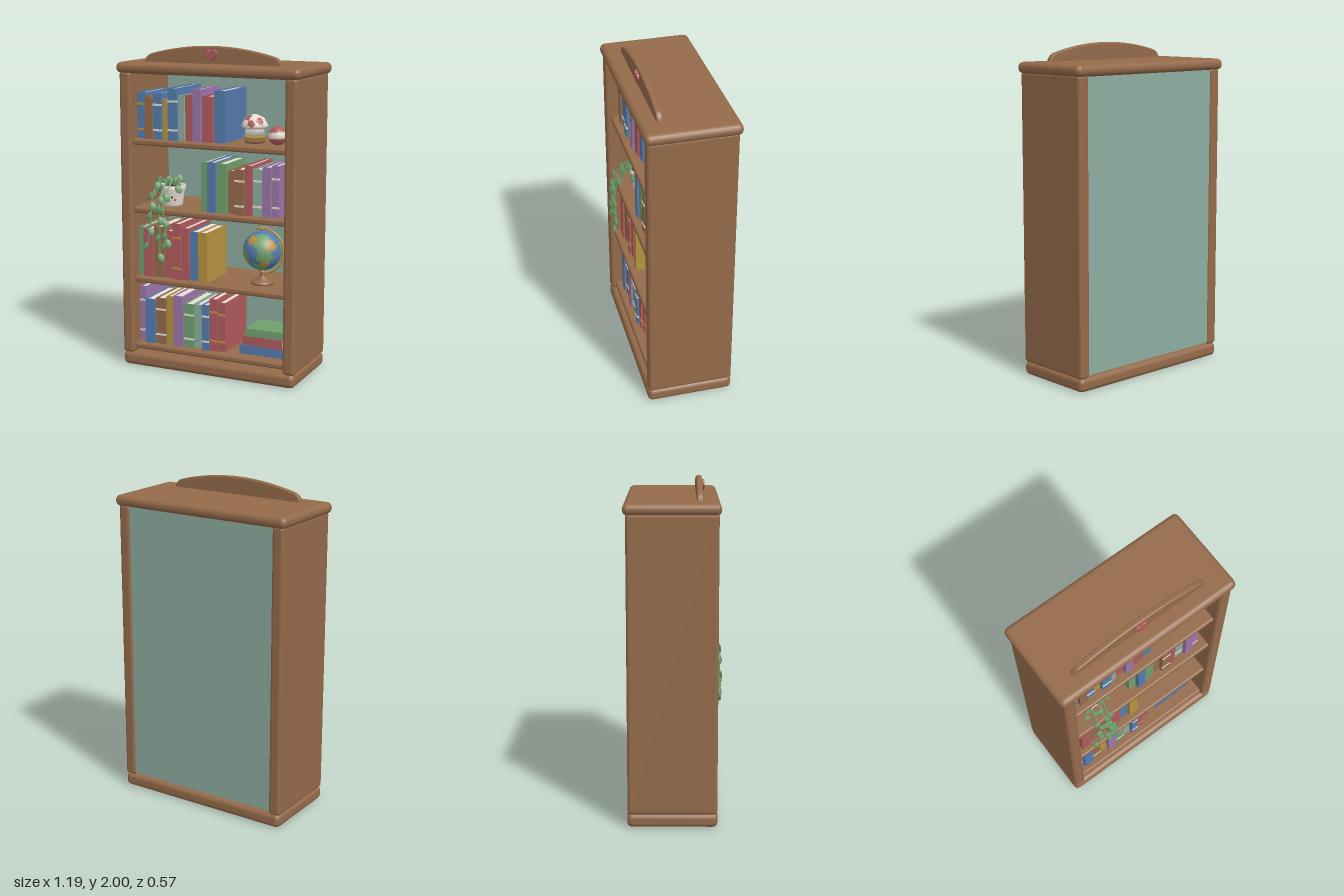
import * as THREE from 'three';
import { RoundedBoxGeometry } from 'three/addons/geometries/RoundedBoxGeometry.js';

const mat = (name, color) => Object.assign(new THREE.MeshStandardMaterial({ color }), { name });
const wood = mat('wood', 0x946a4a);
const sage = mat('sage', 0x8dac9e);
const blue = mat('blue', 0x557cae);
const red = mat('red', 0xb05a5c);
const green = mat('green', 0x6f9f6d);
const purple = mat('purple', 0x9c76ab);
const gold = mat('gold', 0xb8933f);
const cream = mat('cream', 0xe9e0d6);
const dark = mat('dark brown', 0x43302a);

function add(parent, name, geo, material, x = 0, y = 0, z = 0) {
  const m = new THREE.Mesh(geo, material);
  m.name = name;
  m.position.set(x, y, z);
  parent.add(m);
  return m;
}
function group(parent, name, x = 0, y = 0, z = 0) {
  const g = new THREE.Group();
  g.name = name;
  g.position.set(x, y, z);
  parent.add(g);
  return g;
}
const box = (w, h, d) => new THREE.BoxGeometry(w, h, d);
const slab = (w, h, d, r) => new RoundedBoxGeometry(w, h, d, 2, r);
const lathe = (pts, n = 28) => new THREE.LatheGeometry(pts.map(p => new THREE.Vector2(...p)), n);

// Sorts the faces into one group per material, chosen from the face centre
function paint(geo, rule, count) {
  const buckets = Array.from({ length: count }, () => []);
  const p = geo.attributes.position, idx = geo.index.array, v = new THREE.Vector3();
  for (let i = 0; i < idx.length; i += 3) {
    const c = new THREE.Vector3();
    for (let k = 0; k < 3; k++) c.add(v.fromBufferAttribute(p, idx[i + k]));
    buckets[rule(c.divideScalar(3))].push(idx[i], idx[i + 1], idx[i + 2]);
  }
  geo.setIndex(buckets.flat());
  let start = 0;
  buckets.forEach((b, i) => { geo.addGroup(start, b.length, i); start += b.length; });
  return geo;
}
const dir = (x, y, z) => new THREE.Vector3(x, y, z).normalize();

// Book centred on x, standing on y = 0, spine at z = 0 facing the front
function book(parent, w, h, d, cover, band) {
  const b = group(parent, 'book'), t = 0.006;
  for (const s of [-1, 1]) add(b, 'coverBoard', box(t, h, d), cover, s * (w - t) / 2, h / 2, -d / 2);
  add(b, 'spine', box(w - t, h, t), cover, 0, h / 2, -t / 2);
  add(b, 'pages', box(w - 2 * t, h - 0.016, d - 0.014), cream, 0, h / 2, -d / 2 - 0.001);
  if (band) for (const f of [0.2, 0.75])
    add(b, 'spineBand', box(w + 0.001, 0.012, 0.012), band, 0, h * f, -0.003);
  return b;
}

// Row of books: [cover, right edge, top, band]
function bookRow(parent, name, left, base, list) {
  const row = group(parent, name);
  list.forEach(([cover, right, top, band], i) => {
    const b = book(row, right - left - 0.003, top - base, 0.28 + 0.05 * ((i * 7 + 3) % 4) / 3, cover, band);
    b.position.set((left + right) / 2, base, 0.185 + 0.012 * ((i * 5) % 3 - 1));
    left = right;
  });
}

function addCase(g) {
  add(g, 'plinth', slab(1.15, 0.085, 0.53, 0.03), wood, 0, 0.0425, 0);
  add(g, 'topBoard', slab(1.19, 0.068, 0.555, 0.032), wood, 0, 1.862, -0.002);
  for (const s of [-1, 1]) add(g, 'sideBoard', slab(0.075, 1.76, 0.525, 0.02), wood, s * 0.5375, 0.96, 0);
  add(g, 'backPanel', box(1.01, 1.74, 0.016), sage, 0, 0.965, -0.243);
  for (const y of [0.14, 0.57, 1.01, 1.43])
    add(g, 'shelf', slab(1.01, 0.036, 0.47, 0.012), wood, 0, y - 0.018, 0);

  // Arched crest with a heart
  const s = new THREE.Shape();
  s.moveTo(-0.44, 1.885);
  s.quadraticCurveTo(-0.435, 1.925, -0.4, 1.938);
  s.quadraticCurveTo(-0.2, 1.992, 0, 1.992);
  s.quadraticCurveTo(0.2, 1.992, 0.4, 1.938);
  s.quadraticCurveTo(0.435, 1.925, 0.44, 1.885);
  add(g, 'crest', new THREE.ExtrudeGeometry(s, {
    depth: 0.019, bevelThickness: 0.008, bevelSize: 0.008, bevelSegments: 2, curveSegments: 14 }), wood, 0, 0, 0.147);
  const h = new THREE.Shape();
  h.moveTo(0, -0.03);
  h.bezierCurveTo(-0.03, -0.01, -0.045, 0.005, -0.034, 0.022);
  h.bezierCurveTo(-0.024, 0.036, -0.006, 0.03, 0, 0.015);
  h.bezierCurveTo(0.006, 0.03, 0.024, 0.036, 0.034, 0.022);
  h.bezierCurveTo(0.045, 0.005, 0.03, -0.01, 0, -0.03);
  add(g, 'heart', new THREE.ExtrudeGeometry(h, {
    depth: 0.012, bevelThickness: 0.005, bevelSize: 0.004, bevelSegments: 2 }), red, 0, 1.948, 0.172);
}

function addGlobe(g) {
  const globe = group(g, 'globe', 0.283, 0.57, 0.05);
  add(globe, 'stand', lathe([[0, 0], [0.07, 0], [0.07, 0.012], [0.05, 0.024], [0.02, 0.038], [0.014, 0.065],
    [0.022, 0.078], [0, 0.086]]), wood);
  const head = group(globe, 'globeHead', 0, 0.205, 0);
  const land = [[dir(0.1, 0.65, 0.7), 0.88], [dir(0.5, 0, 0.85), 0.9], [dir(-0.6, -0.35, 0.6), 0.9],
    [dir(0.2, -0.7, 0.6), 0.93], [dir(0.8, 0.3, -0.5), 0.86], [dir(-0.5, 0.4, -0.8), 0.85], [dir(-0.2, -0.4, -0.9), 0.92]];
  const desert = [[dir(-0.4, 0.6, 0.7), 0.96], [dir(0.6, 0.55, 0.55), 0.955], [dir(-0.5, -0.6, 0.6), 0.97],
    [dir(0.5, -0.5, 0.7), 0.97], [dir(-0.9, 0.3, 0), 0.94], [dir(0.9, -0.3, -0.3), 0.95]];
  const hit = (list, n) => list.some(([d, c]) => d.dot(n) > c);
  const ball = paint(new THREE.SphereGeometry(0.12, 26, 18),
    c => { c.normalize(); return hit(desert, c) ? 2 : hit(land, c) ? 1 : 0; }, 3);
  add(head, 'globeBall', ball, [blue, green, gold]).rotation.z = -0.2;
  // Meridian arm curves round the right-hand side
  add(head, 'meridianArm', new THREE.TorusGeometry(0.138, 0.007, 8, 32, Math.PI * 1.08), gold).rotation.z = -1.45;
  for (const s of [-1, 1]) add(head, 'axisKnob', new THREE.SphereGeometry(0.013, 10, 8), gold, -s * 0.005, s * 0.134, 0);
}

function addOrnaments(g) {
  // Mushroom jar
  const jar = group(g, 'mushroomJar', 0.228, 1.43, 0.05);
  add(jar, 'jarFoot', lathe([[0, 0], [0.06, 0], [0.062, 0.022], [0, 0.022]]), wood);
  add(jar, 'jarBand', lathe([[0, 0.022], [0.063, 0.022], [0.063, 0.045], [0, 0.045]]), gold);
  add(jar, 'jarBody', lathe([[0, 0.045], [0.06, 0.045], [0.055, 0.1], [0, 0.1]]), cream);
  const cap = lathe([[0, 0.082], [0.06, 0.084], [0.078, 0.092], [0.08, 0.106], [0.073, 0.122], [0.064, 0.138],
    [0.05, 0.153], [0.028, 0.165], [0, 0.17]], 30);
  const spots = [[-0.03, 0.155, 0.04], [0.05, 0.135, 0.045], [0.03, 0.165, -0.02], [-0.07, 0.12, 0.02],
    [-0.04, 0.14, -0.05], [0.06, 0.125, -0.035], [0.005, 0.122, 0.075]].map(p => new THREE.Vector3(...p));
  add(jar, 'mushroomCap', paint(cap, c => (spots.some(s => s.distanceTo(c) < 0.023) ? 1 : 0), 2), [cream, red]);

  // Striped ball
  const ball = paint(new THREE.SphereGeometry(0.056, 24, 18), c => (Math.abs(c.y - 0.004) < 0.02 ? 1 : 0), 2);
  add(g, 'stripedBall', ball, [red, cream], 0.395, 1.486, 0.1).rotation.z = 0.08;

  // Stack of lying books
  const stack = group(g, 'bookStack');
  [[blue, 0.325, 0.14, 0.055, 0.295, 0.02], [red, 0.325, 0.196, 0.058, 0.265, -0.03],
    [green, 0.34, 0.255, 0.048, 0.25, 0.03]].forEach(([c, x, y, t, w, turn]) => {
    const holder = group(stack, 'lyingBook', x, y + t / 2, 0.15);
    holder.rotation.y = turn;
    const b = book(holder, t, w, 0.21, c);
    b.rotation.z = Math.PI / 2;
    b.position.x = w / 2;
  });
}

function addPlant(g) {
  const plant = group(g, 'pottedPlant', -0.31, 1.01, 0.08);
  add(plant, 'pot', lathe([[0, 0], [0.058, 0], [0.064, 0.01], [0.076, 0.1], [0.082, 0.105], [0.082, 0.13],
    [0.07, 0.13], [0.068, 0.112]]), cream);
  add(plant, 'soil', new THREE.CylinderGeometry(0.07, 0.07, 0.01, 24), dark, 0, 0.11, 0);
  for (const s of [-1, 1]) {
    add(plant, 'eye', new THREE.SphereGeometry(0.008, 10, 8), dark, s * 0.028, 0.062, 0.064).scale.z = 0.4;
    add(plant, 'cheek', new THREE.SphereGeometry(0.009, 10, 8), red, s * 0.043, 0.045, 0.053).scale.z = 0.4;
  }
  add(plant, 'smile', new THREE.TorusGeometry(0.011, 0.002, 6, 12, Math.PI), dark, 0, 0.05, 0.069).rotation.z = Math.PI;

  // Trailing vines, with leaves on alternating sides
  const leaf = new THREE.SphereGeometry(0.025, 8, 6).scale(0.8, 1.1, 0.3);
  const vines = [
    [[-0.02, 0.11, 0], [-0.04, 0.17, 0.07], [-0.05, 0.08, 0.17], [-0.05, -0.04, 0.19], [-0.075, -0.23, 0.19]],
    [[0, 0.11, 0.02], [0.01, 0.17, 0.08], [0, 0.06, 0.17], [0.01, -0.06, 0.195], [0.005, -0.29, 0.19]],
    [[0.03, 0.11, 0], [0.04, 0.175, 0.06], [0.03, 0.06, 0.17], [0.035, -0.06, 0.19], [0.055, -0.18, 0.19], [0.05, -0.22, 0.19]],
    [[0.01, 0.11, -0.02], [0.02, 0.16, -0.02], [0.06, 0.17, 0.02], [0.07, 0.12, 0.08]],
    [[-0.02, 0.11, -0.01], [-0.05, 0.15, 0.02], [-0.07, 0.13, 0.07], [-0.07, 0.07, 0.1]]];
  vines.forEach((pts, n) => {
    const curve = new THREE.CatmullRomCurve3(pts.map(p => new THREE.Vector3(...p)));
    add(plant, 'vine', new THREE.TubeGeometry(curve, 24, 0.005, 6), green);
    const count = n < 3 ? 8 : 4;
    for (let i = 1; i <= count; i++) {
      const p = curve.getPoint(i / count), s = (i + n) % 2 ? 1 : -1;
      const m = add(plant, 'leaf', leaf, green, p.x + s * 0.014, p.y, p.z + 0.006);
      m.rotation.set(-0.3, s * 0.5, s * 0.6);
    }
  });
}

export function createModel() {
  const g = new THREE.Group();
  g.name = 'bookcase';
  addCase(g);
  bookRow(g, 'topShelfBooks', -0.5, 1.43, [[blue, -0.438, 1.71, gold], [wood, -0.385, 1.69], [blue, -0.328, 1.71, cream],
    [gold, -0.28, 1.675], [blue, -0.216, 1.745, cream], [sage, -0.174, 1.70], [red, -0.115, 1.705], [purple, -0.058, 1.745],
    [red, 0.016, 1.705], [blue, 0.09, 1.74]]);
  bookRow(g, 'upperShelfBooks', -0.072, 1.01, [[green, -0.02, 1.31], [blue, 0.037, 1.315], [green, 0.106, 1.31],
    [wood, 0.16, 1.27], [wood, 0.222, 1.285, cream], [red, 0.27, 1.31], [sage, 0.338, 1.29, cream],
    [purple, 0.395, 1.31], [purple, 0.444, 1.32, cream]]);
  bookRow(g, 'lowerShelfBooks', -0.5, 0.57, [[green, -0.455, 0.875], [red, -0.39, 0.87], [wood, -0.317, 0.89],
    [red, -0.254, 0.865], [red, -0.2, 0.92, gold], [red, -0.148, 0.895], [blue, -0.08, 0.875], [gold, -0.018, 0.88]]);
  bookRow(g, 'bottomShelfBooks', -0.5, 0.14, [[purple, -0.45, 0.495, cream], [blue, -0.38, 0.425], [wood, -0.312, 0.435, cream],
    [gold, -0.254, 0.45], [purple, -0.185, 0.465], [green, -0.117, 0.42, cream], [sage, -0.058, 0.42],
    [blue, -0.01, 0.43, cream], [red, 0.042, 0.47, gold], [red, 0.095, 0.45, gold]]);
  addGlobe(g);
  addOrnaments(g);
  addPlant(g);
  return g;
}
